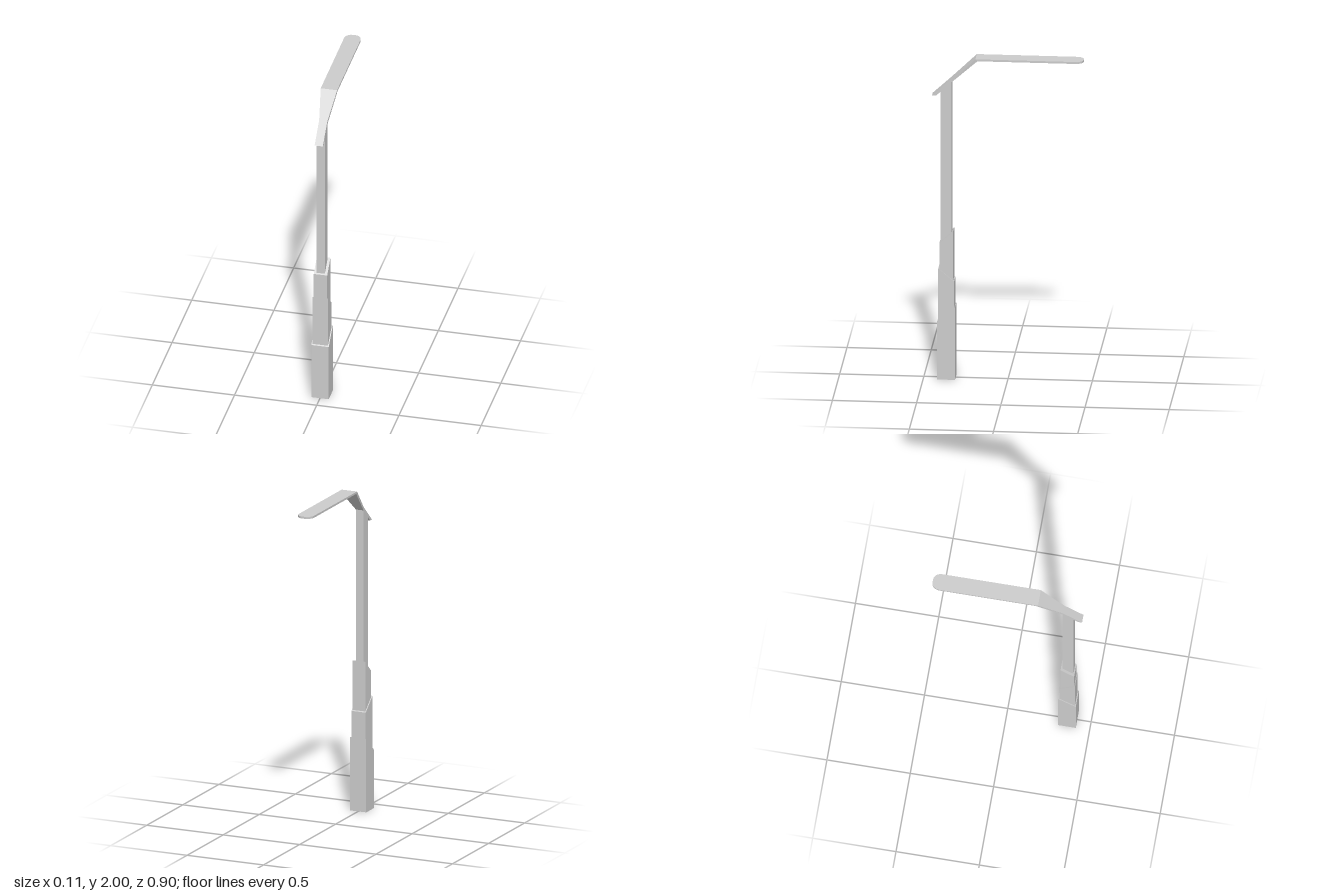
import * as THREE from 'three';

const material = new THREE.MeshStandardMaterial({ color: 0xcccccc, flatShading: true });

function addMesh(group, name, geometry) {
  const flat = geometry.toNonIndexed();
  flat.computeVertexNormals();
  const mesh = new THREE.Mesh(flat, material);
  mesh.name = name;
  group.add(mesh);
}

// Square post whose top is cut at a slant from front to back
function slantedPost(halfWidth, zBack, zFront, y0, yFront, yBack) {
  const geo = new THREE.BoxGeometry(2, 2, 2);
  const p = geo.attributes.position;
  for (let i = 0; i < p.count; i++) {
    const front = p.getZ(i) > 0;
    const y = p.getY(i) < 0 ? y0 : front ? yFront : yBack;
    p.setXYZ(i, p.getX(i) * halfWidth, y, front ? zFront : zBack);
  }
  return geo;
}

// Bar lofted through stations: [top z, top y, bottom z, bottom y, half width]
function loftedBar(stations) {
  const n = stations.length - 1;
  const geo = new THREE.BoxGeometry(2, 2, n, 1, 1, n);
  const p = geo.attributes.position;
  for (let i = 0; i < p.count; i++) {
    const [tz, ty, bz, by, w] = stations[Math.round(n / 2 - p.getZ(i))];
    const top = p.getY(i) > 0;
    p.setXYZ(i, p.getX(i) * w, top ? ty : by, top ? tz : bz);
  }
  return geo;
}

export function createModel() {
  const group = new THREE.Group();
  group.name = 'streetLamp';

  // Stepped base with alternating slanted tops
  addMesh(group, 'baseLower', slantedPost(0.053, 0.311, 0.417, 0, 0.36, 0.45));
  addMesh(group, 'baseMiddle', slantedPost(0.047, 0.317, 0.411, 0.3, 0.69, 0.61));
  addMesh(group, 'baseUpper', slantedPost(0.041, 0.323, 0.405, 0.55, 0.845, 0.92));

  // Pole, cut to meet the sloping arm
  addMesh(group, 'pole', slantedPost(0.025, 0.333, 0.398, 0.8, 1.787, 1.847));

  // Sloping arm that flares into the lamp head
  addMesh(group, 'arm', loftedBar([
    [0.45, 1.76, 0.425, 1.76, 0.025],
    [0.334, 1.867, 0.334, 1.844, 0.025],
    [0.19, 2, 0.178, 1.988, 0.05],
  ]));

  // Flat lamp head with a rounded far end
  const head = [[0.19, 2, 0.178, 1.988, 0.05]];
  const steps = 8;
  for (let i = 0; i <= steps; i++) {
    const a = (i / steps) * Math.PI / 2;
    const z = -0.402 - 0.048 * Math.sin(a);
    head.push([z, 2, z, 1.988, 0.01 + 0.04 * Math.cos(a)]);
  }
  addMesh(group, 'lampHead', loftedBar(head));

  return group;
}
